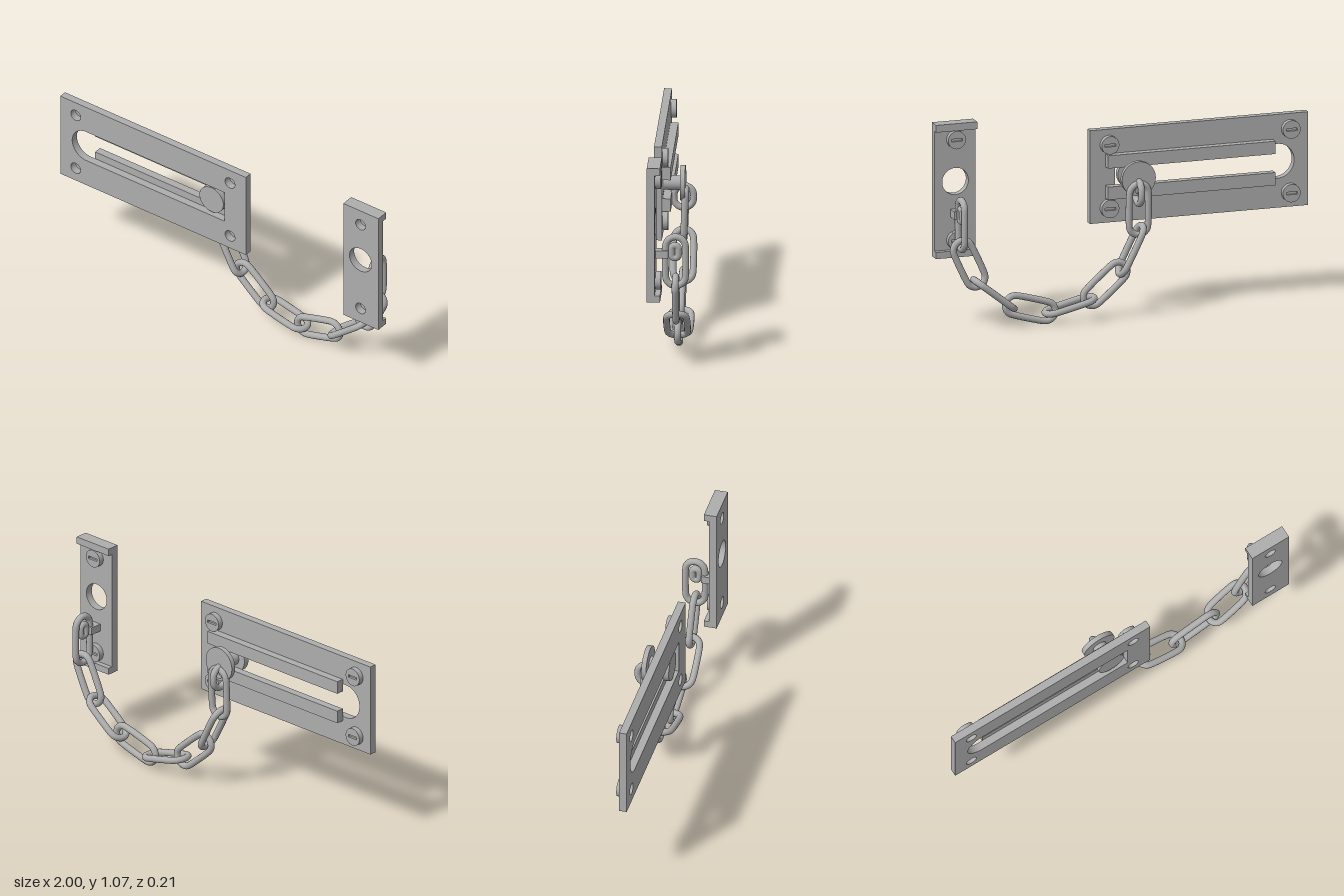
import * as THREE from 'three';

export function createModel() {
  const model = new THREE.Group();
  const steel = new THREE.MeshStandardMaterial({ color: 0xadadad });
  steel.name = 'brushed steel';

  const add = (name, geometry, parent = model) => {
    const mesh = new THREE.Mesh(geometry, steel);
    mesh.name = name;
    parent.add(mesh);
    return mesh;
  };
  // Box given by its min and max corners
  const box = (name, x0, x1, y0, y1, z0, z1) =>
    add(name, new THREE.BoxGeometry(x1 - x0, y1 - y0, z1 - z0))
      .position.set((x0 + x1) / 2, (y0 + y1) / 2, (z0 + z1) / 2);
  const rect = (x0, x1, y0, y1, Type = THREE.Shape) => new Type([
    new THREE.Vector2(x0, y0), new THREE.Vector2(x1, y0),
    new THREE.Vector2(x1, y1), new THREE.Vector2(x0, y1)]);
  const circle = (x, y, r, Type = THREE.Path) => new Type().absarc(x, y, r, 0, Math.PI * 2);
  const slab = (name, shape, z0, z1, parent) =>
    add(name, new THREE.ExtrudeGeometry(shape, { depth: z1 - z0, bevelEnabled: false, curveSegments: 24 }), parent)
      .position.z = z0;
  const disc = (name, x, y, r, z0, z1, parent) => {
    const g = new THREE.CylinderGeometry(r, r, z1 - z0, 40).rotateX(Math.PI / 2);
    add(name, g, parent).position.set(x, y, (z0 + z1) / 2);
  };

  // Slotted screw head on the rear face of a plate
  const screw = (x, y) => {
    const group = new THREE.Group();
    group.name = 'screw';
    group.position.set(x, y, 0);
    const head = circle(0, 0, 0.047, THREE.Shape);
    head.holes.push(rect(-0.029, 0.029, -0.007, 0.007, THREE.Path));
    slab('screwHead', head, 0.037, 0.05, group);
    disc('screwBase', 0, 0, 0.047, 0.05, 0.066, group);
    model.add(group);
  };

  // Track plate with a keyhole slot
  const track = rect(-1, 0.167, 0.473, 0.961);
  const slot = new THREE.Path();
  slot.moveTo(0.033, 0.627);
  slot.lineTo(0.033, 0.807);
  slot.lineTo(-0.835, 0.807);
  slot.absarc(-0.835, 0.717, 0.09, Math.PI / 2, Math.PI * 1.5);
  track.holes.push(slot);
  const trackScrews = [[-0.903, 0.882], [0.067, 0.882], [-0.903, 0.549], [0.067, 0.549]];
  for (const [x, y] of trackScrews) {
    track.holes.push(circle(x, y, 0.031));
    screw(x, y);
  }
  slab('trackPlate', track, 0.065, 0.105);
  box('upperRail', -0.81, 0.085, 0.766, 0.833, 0.024, 0.065);
  box('lowerRail', -0.81, 0.085, 0.602, 0.669, 0.024, 0.065);

  // Sliding knob
  disc('knobFront', -0.057, 0.717, 0.075, 0.065, 0.095);
  disc('knobShaft', -0.057, 0.717, 0.037, -0.021, 0.066);
  const back = circle(-0.057, 0.717, 0.09, THREE.Shape);
  back.holes.push(circle(-0.057, 0.658, 0.02));
  slab('knobBack', back, -0.045, -0.02);

  // Keeper plate with lips and chain tab
  const keeper = rect(0.78, 1, 0.367, 1.067);
  keeper.holes.push(circle(0.888, 0.759, 0.07));
  for (const y of [0.98, 0.453]) {
    keeper.holes.push(circle(0.888, y, 0.031));
    screw(0.888, y);
  }
  slab('keeperPlate', keeper, 0.065, 0.105);
  box('keeperTopLip', 0.78, 1, 1.029, 1.067, 0.038, 0.065);
  box('keeperBottomLip', 0.78, 1, 0.367, 0.402, 0.038, 0.065);
  box('chainTab', 0.862, 0.915, 0.575, 0.615, 0, 0.066);

  // Chain link: a rounded loop between two outer end points
  const WIRE = 0.0175;
  const link = (name, a, b, side, width = 0.135) => {
    const start = new THREE.Vector3(...a), end = new THREE.Vector3(...b);
    const r = width / 2 - WIRE;
    const half = start.distanceTo(end) / 2 - WIRE - r;
    const pts = [];
    for (const s of [1, -1]) {
      for (let i = 0; i <= 8; i++) {
        const t = -Math.PI / 2 + Math.PI * i / 8;
        pts.push(new THREE.Vector3(s * (half + r * Math.cos(t)), s * r * Math.sin(t), 0));
      }
    }
    const path = new THREE.CatmullRomCurve3(pts, true);
    const mesh = add(name, new THREE.TubeGeometry(path, 72, WIRE, 12, true));
    const x = end.clone().sub(start).normalize();
    const z = x.clone().cross(new THREE.Vector3(...side)).normalize();
    const y = z.clone().cross(x);
    mesh.quaternion.setFromRotationMatrix(new THREE.Matrix4().makeBasis(x, y, z));
    mesh.position.copy(start).add(end).multiplyScalar(0.5);
  };

  // Small rings at the knob and keeper, and the first link
  link('knobRing', [-0.057, 0.72, -0.036], [-0.057, 0.57, -0.036], [0, 0, 1]);
  link('keeperRing', [0.89, 0.655, -0.033], [0.89, 0.555, -0.033], [0, 0, 1], 0.07);
  link('chainLink', [-0.057, 0.71, -0.048], [-0.057, 0.407, -0.036], [1, 0, 0]);

  // Hanging links, alternately edge-on and flat
  const hanging = [
    [-0.085, 0.485, 0.052, 0.211], [0.003, 0.284, 0.239, 0.078],
    [0.165, 0.12, 0.457, 0.05], [0.373, 0.046, 0.67, 0.13],
    [0.598, 0.085, 0.835, 0.272], [0.785, 0.212, 0.912, 0.485],
    [0.89, 0.41, 0.89, 0.7]];
  hanging.forEach(([x0, y0, x1, y1], i) => {
    const side = i % 2 ? [y0 - y1, x1 - x0, 0] : [0, 0, 1];
    link('chainLink', [x0, y0, -0.036], [x1, y1, -0.036], side);
  });
  return model;
}
